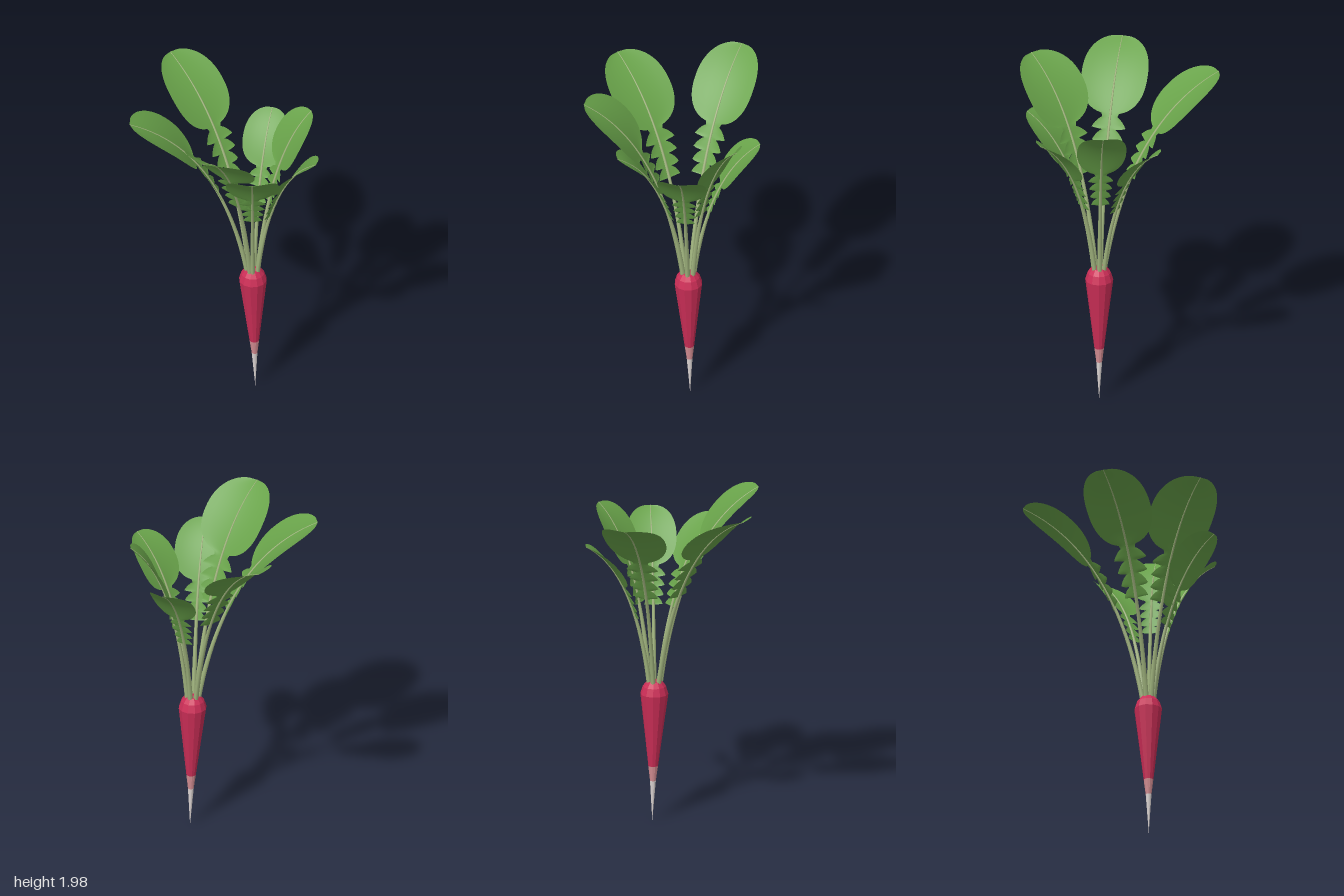
import * as THREE from 'three';

const CX = 0.165, CZ = 0.11, TOP = 0.84;
const BLADE_START = 0.42, HEAD_START = 0.64;

// tip x, tip y, tip z, half width of the head
const LEAVES = [
  [-0.10, 1.98, -0.56, 0.18],
  [-0.535, 1.97, 0.0, 0.19],
  [-0.275, 1.99, 0.51, 0.2],
  [0.02, 1.77, 0.525, 0.15],
  [0.43, 1.76, 0.44, 0.14],
  [0.53, 1.86, 0.075, 0.14],
  [0.40, 1.7, -0.23, 0.13],
];

// Half width along the leaf: ragged lobes, then a broad rounded head
function halfWidth(s, W) {
  if (s < HEAD_START) {
    const u = (s - BLADE_START) / (HEAD_START - BLADE_START);
    const tooth = (u * 4) % 1;
    const lobe = tooth < 0.3 ? tooth / 0.3 : 1 - (tooth - 0.3) / 0.7;
    return W * (0.12 + (0.25 + 0.18 * u) * Math.sqrt(lobe)) * Math.min(1, u * 12);
  }
  const u = (s - HEAD_START) / (1 - HEAD_START);
  const round = Math.sqrt(Math.max(0, 1 - Math.abs(2 * Math.pow(u, 0.9) - 1) ** 2.3));
  return W * Math.max(u < 0.5 ? 0.14 : 0, round);
}

// Arching midrib from the crown out to the tip
function leafCurve(dir, D, H) {
  const at = (r, h) => new THREE.Vector3(CX + dir.x * r, TOP + h, CZ + dir.z * r);
  return new THREE.QuadraticBezierCurve3(
    at(0.033, 0), at(0.033 + 0.235 * (D - 0.033), 0.8 * H), at(D, H));
}

// Thin blade, gently cupped across the midrib
function bladeGeometry(curve, side, W) {
  const rows = 96, cols = 8, pos = [], idx = [];
  for (let i = 0; i <= rows; i++) {
    const s = BLADE_START + (1 - BLADE_START) * i / rows;
    const p = curve.getPointAt(s), t = curve.getTangentAt(s);
    const n = new THREE.Vector3().crossVectors(side, t);
    const w = halfWidth(s, W);
    const sweep = s < HEAD_START ? -0.25 : 0;
    for (let j = 0; j <= cols; j++) {
      const k = 2 * j / cols - 1;
      const v = p.clone().addScaledVector(side, k * w)
        .addScaledVector(n, 0.13 * w * k * k)
        .addScaledVector(t, sweep * w * Math.abs(k));
      pos.push(v.x, v.y, v.z);
      if (i < rows && j < cols) {
        const a = i * (cols + 1) + j, b = a + cols + 1;
        idx.push(a, a + 1, b, a + 1, b + 1, b);
      }
    }
  }
  const g = new THREE.BufferGeometry();
  g.setAttribute('position', new THREE.Float32BufferAttribute(pos, 3));
  g.setIndex(idx);
  g.computeVertexNormals();
  return g;
}

// Tube whose rings shrink towards the leaf tip
function stemGeometry(curve, r0, r1) {
  const rings = 28, sides = 6;
  const g = new THREE.TubeGeometry(curve, rings, 1, sides, false);
  const p = g.attributes.position, v = new THREE.Vector3();
  for (let i = 0; i <= rings; i++) {
    const c = curve.getPointAt(i / rings);
    const r = r0 + (r1 - r0) * i / rings;
    for (let j = 0; j <= sides; j++) {
      const q = i * (sides + 1) + j;
      v.fromBufferAttribute(p, q).sub(c).multiplyScalar(r).add(c);
      p.setXYZ(q, v.x, v.y, v.z);
    }
  }
  return g;
}

export function createModel() {
  const mat = (name, color, extra = {}) =>
    Object.assign(new THREE.MeshStandardMaterial({ color, ...extra }), { name });
  const flat = { flatShading: true };
  const red = mat('rootRed', 0xcc2e57, flat);
  const pink = mat('rootPink', 0xd68f94, flat);
  const white = mat('rootWhite', 0xddd6d4, flat);
  const green = mat('leafGreen', 0x69a34a, { side: THREE.DoubleSide });
  const pale = mat('stemGreen', 0xa3b780);

  const model = new THREE.Group();
  model.name = 'rootVegetable';
  const add = (parent, name, geometry, material) => {
    const m = new THREE.Mesh(geometry, material);
    m.name = name;
    parent.add(m);
  };

  // Tapered root in three colour bands, leaning slightly at the tip
  const root = new THREE.Group();
  root.name = 'root';
  model.add(root);
  const band = (name, profile, material) => {
    const g = new THREE.LatheGeometry(profile.map(([r, y]) => new THREE.Vector2(r, y)), 12);
    const p = g.attributes.position;
    for (let i = 0; i < p.count; i++) {
      p.setX(i, p.getX(i) + CX + 0.016 * (1 - p.getY(i) / 0.85));
      p.setZ(i, p.getZ(i) + CZ);
    }
    add(root, name, g, material);
  };
  band('rootTip', [[0, 0.01], [0.017, 0.25]], white);
  band('rootBand', [[0.017, 0.25], [0.028, 0.34]], pink);
  band('rootBody', [[0.028, 0.34], [0.054, 0.56], [0.08, 0.775], [0.066, 0.82], [0.043, 0.85], [0, 0.855]], red);

  // Leaves fanned around the crown
  LEAVES.forEach(([x, y, z, W], i) => {
    const leaf = new THREE.Group();
    leaf.name = 'leaf' + (i + 1);
    model.add(leaf);
    const dir = new THREE.Vector3(x - CX, 0, z - CZ);
    const D = dir.length();
    dir.normalize();
    const side = new THREE.Vector3(-dir.z, 0, dir.x);
    const curve = leafCurve(dir, D, y - TOP);
    add(leaf, 'blade', bladeGeometry(curve, side, W), green);
    add(leaf, 'stem', stemGeometry(curve, 0.015, 0.002), pale);
  });
  return model;
}
